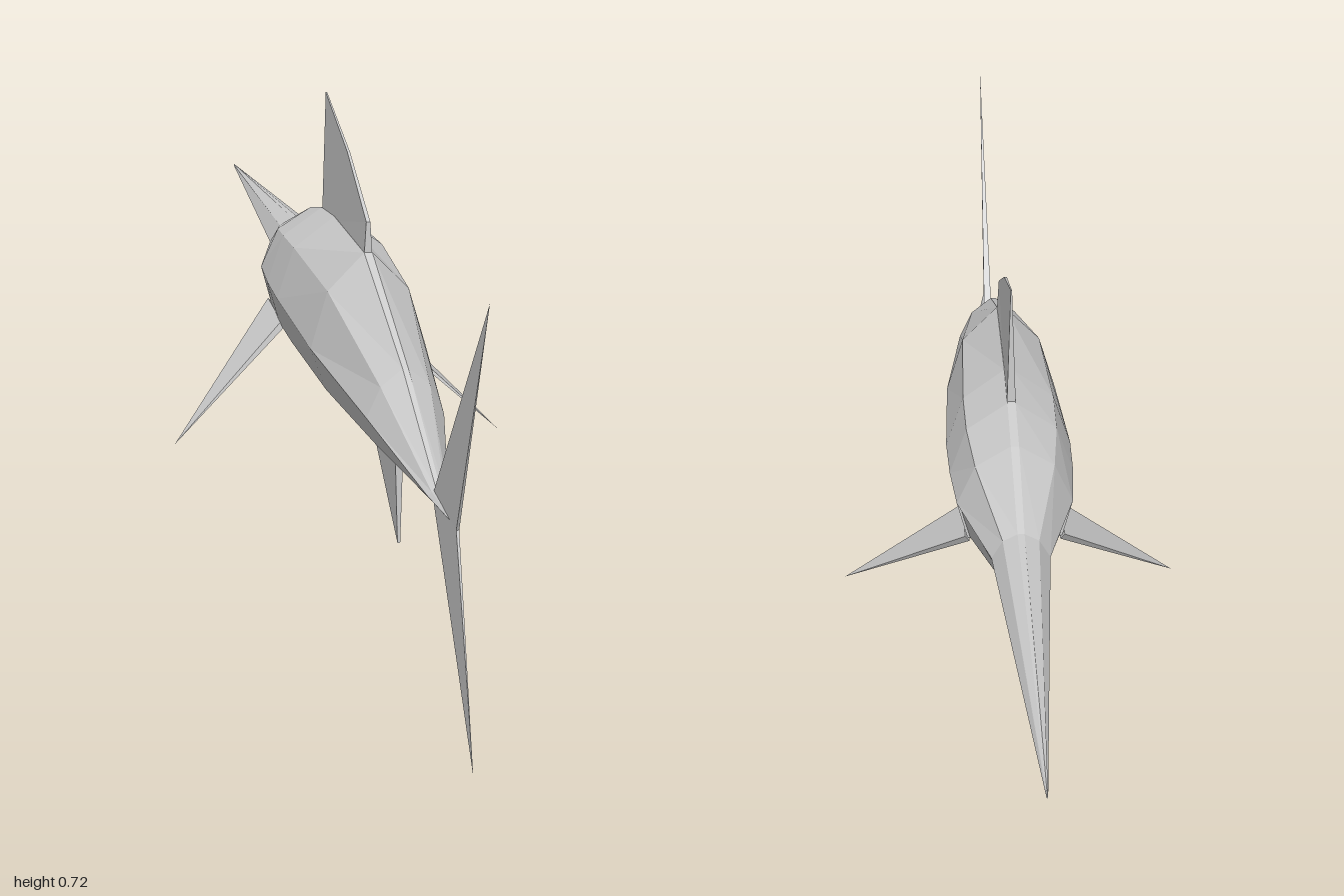
import * as THREE from 'three';

const material = new THREE.MeshStandardMaterial({ color: 0xcccccc, flatShading: true, side: THREE.DoubleSide });

function makeMesh(name, positions) {
  const geometry = new THREE.BufferGeometry();
  geometry.setAttribute('position', new THREE.Float32BufferAttribute(positions, 3));
  geometry.computeVertexNormals();
  const mesh = new THREE.Mesh(geometry, material);
  mesh.name = name;
  return mesh;
}

// Skin over mirrored cross-sections running from tail to head.
// Each section: { z, half: [[x, y], ...] } listed from top to bottom on the left side.
function loft(name, sections) {
  const rings = sections.map(({ z, half }) => [
    ...half.map(([x, y]) => [x, y, z]),
    ...half.slice().reverse().map(([x, y]) => [-x, y, z]),
  ]);
  const out = [];
  const n = rings[0].length;
  for (let i = 0; i < rings.length - 1; i++) {
    for (let j = 0; j < n; j++) {
      const k = (j + 1) % n;
      const a = rings[i][j], b = rings[i][k], c = rings[i + 1][j], d = rings[i + 1][k];
      out.push(...a, ...b, ...c, ...b, ...d, ...c);
    }
  }
  const first = rings[0], last = rings[rings.length - 1];
  for (let j = 1; j < n - 1; j++) {
    out.push(...first[0], ...first[j + 1], ...first[j]);
    out.push(...last[0], ...last[j], ...last[j + 1]);
  }
  return makeMesh(name, out);
}

// Thin convex blade; each corner is [x, y, z, half thickness] along the given axis.
function blade(name, corners, axis = [1, 0, 0]) {
  const offset = (s) => corners.map(([x, y, z, t]) =>
    [x + s * t * axis[0], y + s * t * axis[1], z + s * t * axis[2]]);
  const p = offset(1), q = offset(-1), out = [];
  const n = corners.length;
  for (let j = 1; j < n - 1; j++) {
    out.push(...p[0], ...p[j], ...p[j + 1], ...q[0], ...q[j + 1], ...q[j]);
  }
  for (let j = 0; j < n; j++) {
    const k = (j + 1) % n;
    out.push(...p[j], ...q[j], ...q[k], ...p[j], ...q[k], ...p[k]);
  }
  return makeMesh(name, out);
}

export function createModel() {
  const fish = new THREE.Group();
  fish.name = 'billfish';

  // Trunk, from the tail root to the gills
  fish.add(loft('body', [
    { z: 0.81, half: [[0, 0.305], [0.001, 0.304], [0.002, 0.303], [0.001, 0.301], [0, 0.3]] },
    { z: 0.715, half: [[0.003, 0.322], [0.009, 0.318], [0.014, 0.312], [0.008, 0.305], [0, 0.3]] },
    { z: 0.5, half: [[0.004, 0.433], [0.035, 0.408], [0.055, 0.365], [0.04, 0.325], [0, 0.298]] },
    { z: 0.235, half: [[0.006, 0.54], [0.06, 0.485], [0.085, 0.4], [0.062, 0.338], [0, 0.295]] },
    { z: 0, half: [[0.006, 0.546], [0.068, 0.5], [0.094, 0.422], [0.072, 0.354], [0, 0.308]] },
    { z: -0.1, half: [[0.006, 0.54], [0.067, 0.498], [0.092, 0.426], [0.073, 0.36], [0, 0.32]] },
    { z: -0.2, half: [[0.006, 0.52], [0.058, 0.488], [0.085, 0.428], [0.07, 0.372], [0, 0.337]] },
  ]));

  // Upper head drawn out into the long bill
  fish.add(loft('headAndBill', [
    { z: -0.2, half: [[0.006, 0.52], [0.058, 0.488], [0.085, 0.428], [0, 0.424]] },
    { z: -0.37, half: [[0.005, 0.468], [0.026, 0.457], [0.042, 0.43], [0, 0.421]] },
    { z: -1, half: [[0, 0.438], [0.001, 0.437], [0.001, 0.436], [0, 0.435]] },
  ]));

  // Short pointed lower jaw
  fish.add(loft('lowerJaw', [
    { z: -0.2, half: [[0, 0.422], [0.08, 0.422], [0.066, 0.372], [0, 0.337]] },
    { z: -0.47, half: [[0, 0.418], [0.012, 0.418], [0.008, 0.411], [0, 0.404]] },
    { z: -0.49, half: [[0, 0.417], [0.002, 0.417], [0.002, 0.415], [0, 0.414]] },
  ]));

  // Fins on the centre line
  fish.add(blade('dorsalFin', [
    [0, 0.52, -0.095, 0.007], [0, 0.72, -0.095, 0.001], [0, 0.66, 0.085, 0.002],
    [0, 0.585, 0.235, 0.003], [0, 0.52, 0.235, 0.007],
  ]));
  fish.add(blade('analFin', [
    [0, 0.31, 0.28, 0.006], [0, 0.31, 0.46, 0.006], [0, 0.17, 0.46, 0.002],
  ]));
  fish.add(blade('upperTailFin', [
    [0, 0.32, 0.715, 0.006], [0, 0.64, 1, 0], [0, 0.3, 0.833, 0.002], [0, 0.302, 0.715, 0.006],
  ]));
  fish.add(blade('lowerTailFin', [
    [0, 0.32, 0.715, 0.006], [0, 0.3, 0.833, 0.002], [0, 0, 0.935, 0], [0, 0.302, 0.715, 0.006],
  ]));

  // Swept pectoral fins
  for (const [name, s] of [['leftPectoralFin', 1], ['rightPectoralFin', -1]]) {
    fish.add(blade(name, [
      [s * 0.07, 0.372, -0.205, 0.005], [s * 0.252, 0.2, -0.005, 0], [s * 0.07, 0.362, -0.085, 0.005],
    ], [s * 0.66, 0.75, 0]));
  }

  return fish;
}
